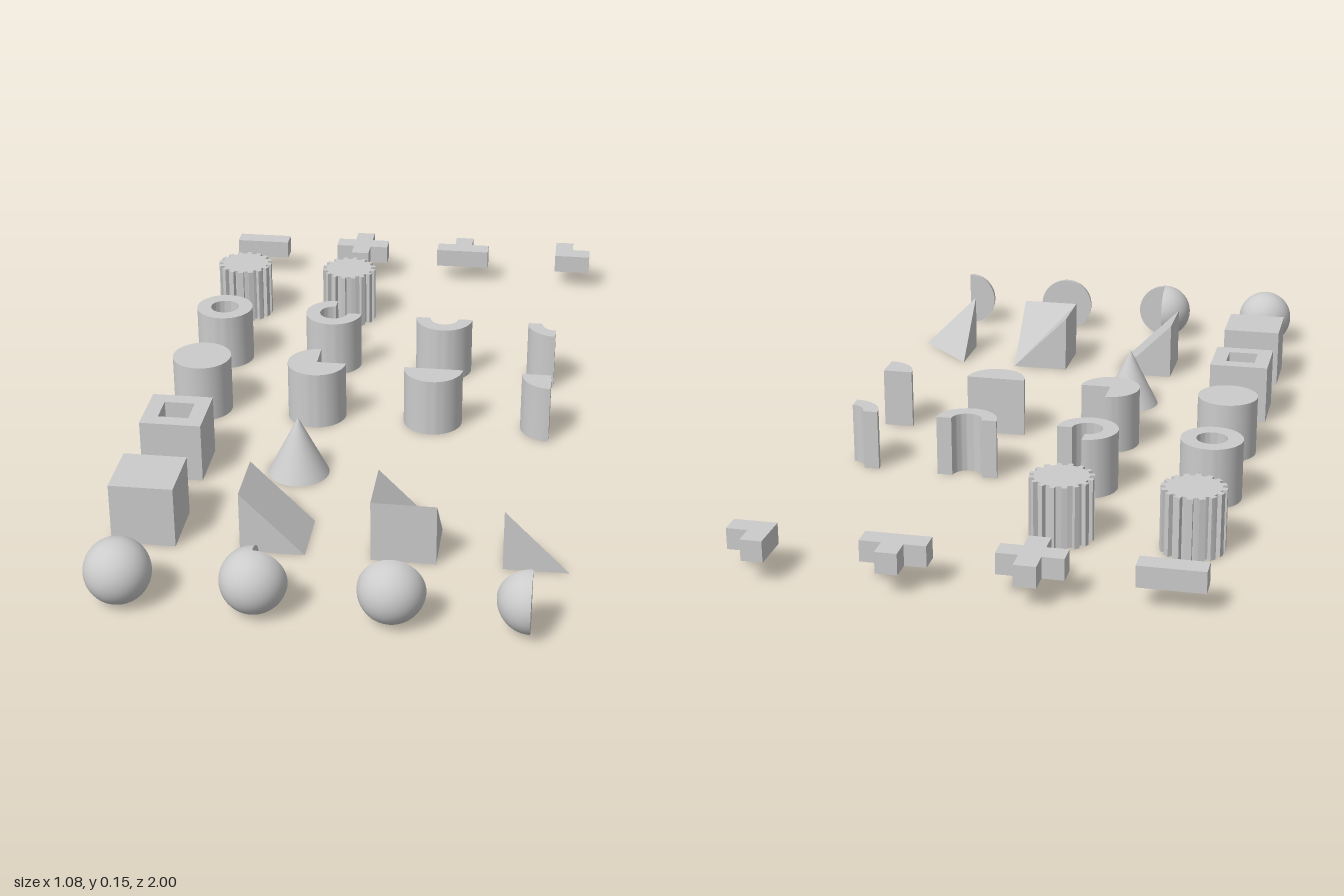
import * as THREE from 'three';
import { toCreasedNormals } from 'three/addons/utils/BufferGeometryUtils.js';
import { ConvexGeometry } from 'three/addons/geometries/ConvexGeometry.js';

const U = 2 / 13;          // size of one solid; grid pitch is 2U
const R = U / 2;
const CELL = U / 3;        // cell of the small block pieces
const Q = Math.PI / 2;

// Sector spans (start, length), measured from +x towards +z
const SECTORS = [
  ['full', 0, 4 * Q],
  ['threeQuarter', 0, 3 * Q],
  ['half', 0, 2 * Q],
  ['quarter', Q, Q],
];

const v2 = (x, y) => new THREE.Vector2(x, y);

function arc(radius, start, length, segments = 64) {
  const n = Math.round(segments * length / (4 * Q));
  return Array.from({ length: n + 1 }, (_, i) => {
    const a = start + length * i / n;
    return v2(radius * Math.cos(a), radius * Math.sin(a));
  });
}

// Upright prism centred on the origin; the outline's y becomes z
function prism(points, height, hole) {
  const shape = new THREE.Shape(points);
  if (hole) shape.holes.push(new THREE.Path(hole));
  const geo = new THREE.ExtrudeGeometry(shape, { depth: height, bevelEnabled: false });
  geo.rotateX(Q).translate(0, height / 2, 0);
  return toCreasedNormals(geo, 0.5);
}

const square = (h) => [v2(-h, -h), v2(h, -h), v2(h, h), v2(-h, h)];
const cells = (list) => list.map(([x, z]) => v2(x * CELL, z * CELL));

// Points of a unit cube given as 'xyz' bit strings
const corner = (s) => new THREE.Vector3(...[...s].map((c) => (Number(c) - 0.5) * U));

// Flat-sided solid from faces listed counter-clockwise
function solid(faces) {
  const pts = [];
  for (const face of faces) {
    const p = face.split(' ').map(corner);
    for (let i = 2; i < p.length; i++) pts.push(p[0], p[i - 1], p[i]);
  }
  const geo = new THREE.BufferGeometry().setFromPoints(pts);
  geo.computeVertexNormals();
  return geo;
}

// Gear outline with straight-topped teeth
function gearOutline(teeth, root, baseWidth, tipWidth, turn) {
  const pts = [];
  for (let i = 0; i < teeth; i++) {
    const step = 4 * Q / teeth;
    const profile = [[root, -baseWidth], [R, -tipWidth], [R, tipWidth], [root, baseWidth]];
    for (const [r, w] of profile) {
      const a = turn + (i + w / 2) * step;
      pts.push(v2(r * Math.cos(a), r * Math.sin(a)));
    }
  }
  return pts;
}

export function createModel() {
  const model = new THREE.Group();
  const material = new THREE.MeshStandardMaterial({ color: 0xcccccc });

  // col 0..3 runs along +x, row 0..6 runs from front to back
  function place(name, object, col, row) {
    const part = object.isBufferGeometry ? new THREE.Mesh(object, material) : object;
    part.name = name;
    part.position.set((2 * col - 3) * U, R, (6 - 2 * row) * U);
    model.add(part);
  }

  // Ball, cylinder and tube, each whole and cut into sectors
  SECTORS.forEach(([label, start, length], col) => {
    const whole = col === 0;

    const ball = new THREE.Group();
    const skin = new THREE.SphereGeometry(R, Math.round(48 * length / (4 * Q)), 32, 2 * Q - start - length, length);
    ball.add(new THREE.Mesh(skin, material));
    if (!whole) {
      const first = new THREE.CircleGeometry(R, 32, Q, 2 * Q).rotateY(2 * Q - start);
      const last = new THREE.CircleGeometry(R, 32, -Q, 2 * Q).rotateY(-start - length);
      ball.add(new THREE.Mesh(first, material), new THREE.Mesh(last, material));
    }
    ball.children.forEach((m, i) => { m.name = i ? 'cutFace' : 'ballSkin'; });
    place(label + 'Sphere', ball, col, 0);

    const outer = arc(R, start, length);
    const inner = arc(R / 2, start, length);
    if (whole) {
      place('fullCylinder', new THREE.CylinderGeometry(R, R, U, 64), col, 3);
      place('fullTube', prism(outer.slice(0, -1), U, inner.slice(0, -1)), col, 4);
    } else {
      place(label + 'Cylinder', prism([v2(0, 0), ...outer], U), col, 3);
      place(label + 'Tube', prism([...outer, ...inner.reverse()], U), col, 4);
    }
  });

  // Cube and its sloped relatives
  place('cube', new THREE.BoxGeometry(U, U, U), 0, 1);
  place('wedge', new ConvexGeometry(['000', '100', '101', '001', '010', '011'].map(corner)), 1, 1);
  place('innerCornerWedge', solid([
    '000 100 101 001', '001 101 111 011', '000 001 011 010',
    '000 010 100', '100 111 101', '010 011 100', '100 011 111',
  ]), 2, 1);
  place('cornerTetrahedron', new ConvexGeometry(['000', '001', '101', '011'].map(corner)), 3, 1);

  // Square tube and cone
  place('squareTube', prism(square(R), U, square(R / 2)), 0, 2);
  place('cone', new THREE.ConeGeometry(R, U, 64), 1, 2);

  // Gears
  place('wideToothGear', prism(gearOutline(16, R * 0.85, 0.6, 0.5, 0), U), 0, 5);
  place('narrowToothGear', prism(gearOutline(16, R * 0.85, 0.5, 0.4, 0.1), U), 1, 5);

  // Small block pieces, outlined in cells
  const h = 0.5, w = 1.5;
  const pieces = {
    straightBlock: [[-w, -h], [w, -h], [w, h], [-w, h]],
    crossBlock: [[-w, -h], [-h, -h], [-h, -w], [h, -w], [h, -h], [w, -h],
      [w, h], [h, h], [h, w], [-h, w], [-h, h], [-w, h]],
    teeBlock: [[-w, -h], [-h, -h], [-h, -w], [h, -w], [h, -h], [w, -h], [w, h], [-w, h]],
    elbowBlock: [[-h, -w], [h, -w], [h, -h], [w, -h], [w, h], [-h, h]],
  };
  Object.entries(pieces).forEach(([name, outline], col) => {
    place(name, prism(cells(outline), CELL), col, 6);
  });

  return model;
}
